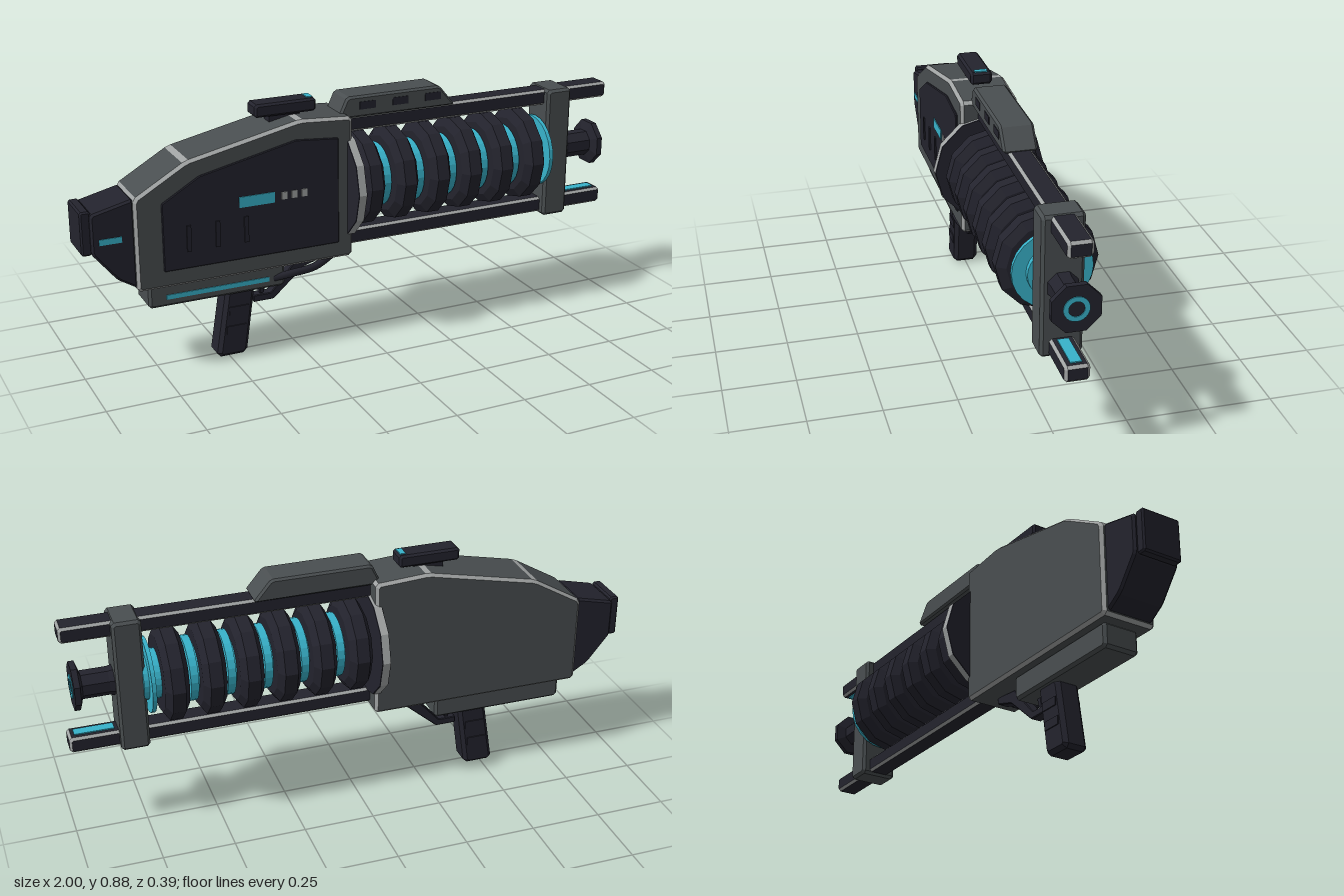
import * as THREE from 'three';

const paint = (name, color) => {
  const m = new THREE.MeshStandardMaterial({ color });
  m.name = name;
  return m;
};

export function createModel() {
  const model = new THREE.Group();
  model.name = 'energyRifle';
  const grey = paint('gunmetal grey', 0x494e50);
  const dark = paint('dark casing', 0x23232d);
  const light = paint('worn edge', 0xa0a3a3);
  const cyan = paint('glow cyan', 0x38b2ca);

  const add = (name, geometry, material) => {
    const mesh = new THREE.Mesh(geometry, material);
    mesh.name = name;
    model.add(mesh);
    return mesh;
  };
  const flat = (geometry) => {
    const g = geometry.index ? geometry.toNonIndexed() : geometry;
    g.computeVertexNormals();
    return g;
  };

  // Counter-clockwise profile in x/y given depth in z; corners and rims are
  // chamfered by c, and the chamfers get their own material.
  function slab(name, pts, z0, z1, c, main, edge = main) {
    const P = pts.map(([x, y]) => new THREE.Vector2(x, y));
    const n = P.length;
    const normals = [new THREE.Vector3(0, 0, 1), new THREE.Vector3(0, 0, -1)];
    const cut = [];
    P.forEach((p, i) => {
      const next = P[(i + 1) % n], prev = P[(i + n - 1) % n];
      const a = next.clone().sub(p).normalize(), b = prev.clone().sub(p).normalize();
      normals.push(new THREE.Vector3(a.y, -a.x, 0));
      cut.push(p.clone().addScaledVector(b, c), p.clone().addScaledVector(a, c));
    });
    const g = flat(new THREE.ExtrudeGeometry(new THREE.Shape(cut), {
      depth: z1 - z0 - 2 * c, bevelEnabled: true, bevelSegments: 1,
      bevelSize: c * 0.9, bevelOffset: -c * 0.9, bevelThickness: c,
    }));
    g.translate(0, 0, z0 + c);
    g.clearGroups();
    const nor = g.attributes.normal, v = new THREE.Vector3();
    for (let i = 0; i < nor.count; i += 3) {
      v.fromBufferAttribute(nor, i);
      g.addGroup(i, 3, normals.some((m) => m.dot(v) > 0.995) ? 0 : 1);
    }
    return add(name, g, [main, edge]);
  }
  const rect = (x0, x1, y0, y1) => [[x0, y0], [x1, y0], [x1, y1], [x0, y1]];
  const plate = (name, x0, x1, y0, y1, z0, z1, m) =>
    add(name, new THREE.BoxGeometry(x1 - x0, y1 - y0, z1 - z0)
      .translate((x0 + x1) / 2, (y0 + y1) / 2, (z0 + z1) / 2), m);

  // Turned part around the barrel axis; profile is [radius, x]
  const AXIS = 0.57;
  const turned = (name, profile, sides, m, phase = 0) =>
    add(name, flat(new THREE.LatheGeometry(
      profile.map(([r, x]) => new THREE.Vector2(r, x)), sides, phase))
      .rotateZ(-Math.PI / 2).translate(0, AXIS, 0), m);
  const disc = (r, x0, x1) => [[0, x0], [r, x0], [r, x1], [0, x1]];

  // Main housing
  slab('housing', [[-0.83, 0.32], [-0.06, 0.32], [-0.06, 0.82], [-0.25, 0.832],
    [-0.65, 0.745], [-0.83, 0.64]], -0.1, 0.1, 0.011, grey, light);

  // Side panel with indicators
  slab('sidePanel', [[-0.74, 0.38], [-0.115, 0.38], [-0.115, 0.755], [-0.27, 0.768],
    [-0.61, 0.692], [-0.74, 0.615]], 0.098, 0.107, 0.003, dark);
  plate('display', -0.475, -0.35, 0.563, 0.6, 0.105, 0.11, cyan);
  for (let i = 0; i < 3; i++) {
    const x = -0.325 + i * 0.036;
    plate('indicator', x, x + 0.02, 0.569, 0.595, 0.105, 0.11, light);
    plate('panelVent', -0.66 + i * 0.1, -0.645 + i * 0.1, 0.44, 0.53, 0.105, 0.112, dark);
  }

  // Rear stock
  slab('stock', [[-0.97, 0.47], [-0.89, 0.37], [-0.825, 0.33], [-0.825, 0.64],
    [-0.97, 0.605]], -0.085, 0.085, 0.008, dark);
  slab('buttPlate', rect(-1, -0.965, 0.465, 0.615), -0.073, 0.073, 0.006, dark);
  plate('stockStripe', -0.945, -0.87, 0.5, 0.52, 0.083, 0.088, cyan);

  // Lower receiver, grip and guard
  slab('lowerReceiver', rect(-0.785, -0.3, 0.238, 0.325), -0.066, 0.066, 0.01, grey);
  plate('receiverStripe', -0.725, -0.36, 0.265, 0.281, 0.064, 0.069, cyan);
  slab('grip', [[-0.545, 0], [-0.435, 0], [-0.4, 0.25], [-0.505, 0.25]],
    -0.045, 0.045, 0.014, dark);
  for (const y of [0.1, 0.17]) {
    const x = -0.49 + y * 0.15;
    plate('gripRib', x - 0.035, x + 0.035, y - 0.015, y + 0.015, -0.049, 0.049, dark);
  }
  slab('triggerGuard', [[-0.4, 0.175], [-0.325, 0.175], [-0.21, 0.275], [-0.13, 0.3],
    [-0.13, 0.325], [-0.23, 0.315], [-0.335, 0.2], [-0.4, 0.2]], -0.02, 0.02, 0.003, dark);
  slab('trigger', [[-0.375, 0.2], [-0.36, 0.2], [-0.345, 0.25], [-0.37, 0.25]],
    -0.012, 0.012, 0.003, dark);
  const cable = new THREE.CatmullRomCurve3([[-0.34, 0.27, 0.055], [-0.28, 0.282, 0.072],
    [-0.19, 0.292, 0.07], [-0.11, 0.33, 0.06]].map((p) => new THREE.Vector3(...p)));
  add('cable', new THREE.TubeGeometry(cable, 16, 0.014, 8), dark);

  // Sight
  slab('sight', rect(-0.385, -0.165, 0.837, 0.882), -0.038, 0.038, 0.008, dark);
  plate('sightMount', -0.33, -0.22, 0.8, 0.845, -0.022, 0.022, dark);
  plate('sightLamp', -0.192, -0.172, 0.88, 0.885, -0.022, 0.022, cyan);

  // Top cover with slots
  slab('topCover', [[-0.095, 0.8], [0.355, 0.8], [0.292, 0.875], [-0.06, 0.875]],
    -0.058, 0.058, 0.008, grey);
  for (const x of [0.015, 0.14, 0.265])
    plate('coverSlot', x - 0.03, x + 0.03, 0.828, 0.855, 0.054, 0.06, dark);

  // Rails with glowing strips on their inner faces
  for (const s of [1, -1]) {
    const y = AXIS + s * 0.205;
    slab('rail', rect(-0.07, 0.995, y - 0.028, y + 0.028), -0.04, 0.04, 0.009, dark, light);
    const inner = y - s * 0.029;
    plate('railGlow', 0.84, 0.975, inner - 0.003, inner + 0.003, -0.018, 0.018, cyan);
  }

  // Front bracket
  slab('frontBracket', rect(0.73, 0.828, 0.328, 0.806), -0.068, 0.068, 0.01, grey);

  // Collar disc: dark faces, worn rim
  turned('collarFaces', disc(0.194, -0.08, -0.05), 12, dark);
  turned('collarRim', [[0.196, -0.078], [0.196, -0.052]], 12, light);

  // Coil: glowing core, thin discs and heavy rings
  turned('core', disc(0.085, -0.06, 0.74), 24, cyan);
  for (let i = 0; i < 6; i++) {
    const x = 0.005 + i * 0.127;
    turned('coilRing', [[0.08, x - 0.041], [0.135, x - 0.041], [0.165, x - 0.022],
      [0.165, x + 0.022], [0.135, x + 0.041], [0.08, x + 0.041]], 12, dark);
    if (i < 5) turned('glowDisc', disc(0.112, x + 0.05, x + 0.077), 24, cyan);
  }
  turned('endGlowDisc', disc(0.13, 0.708, 0.722), 24, cyan);

  // Muzzle
  turned('muzzle', [[0, 0.8], [0.058, 0.8], [0.048, 0.845], [0.048, 0.935], [0.083, 0.946],
    [0.083, 0.966], [0, 0.966]], 8, dark, Math.PI / 8);
  turned('muzzleGlow', [[0.041, 0.96], [0.041, 0.969], [0.025, 0.969], [0.025, 0.96]], 24, cyan);

  return model;
}
